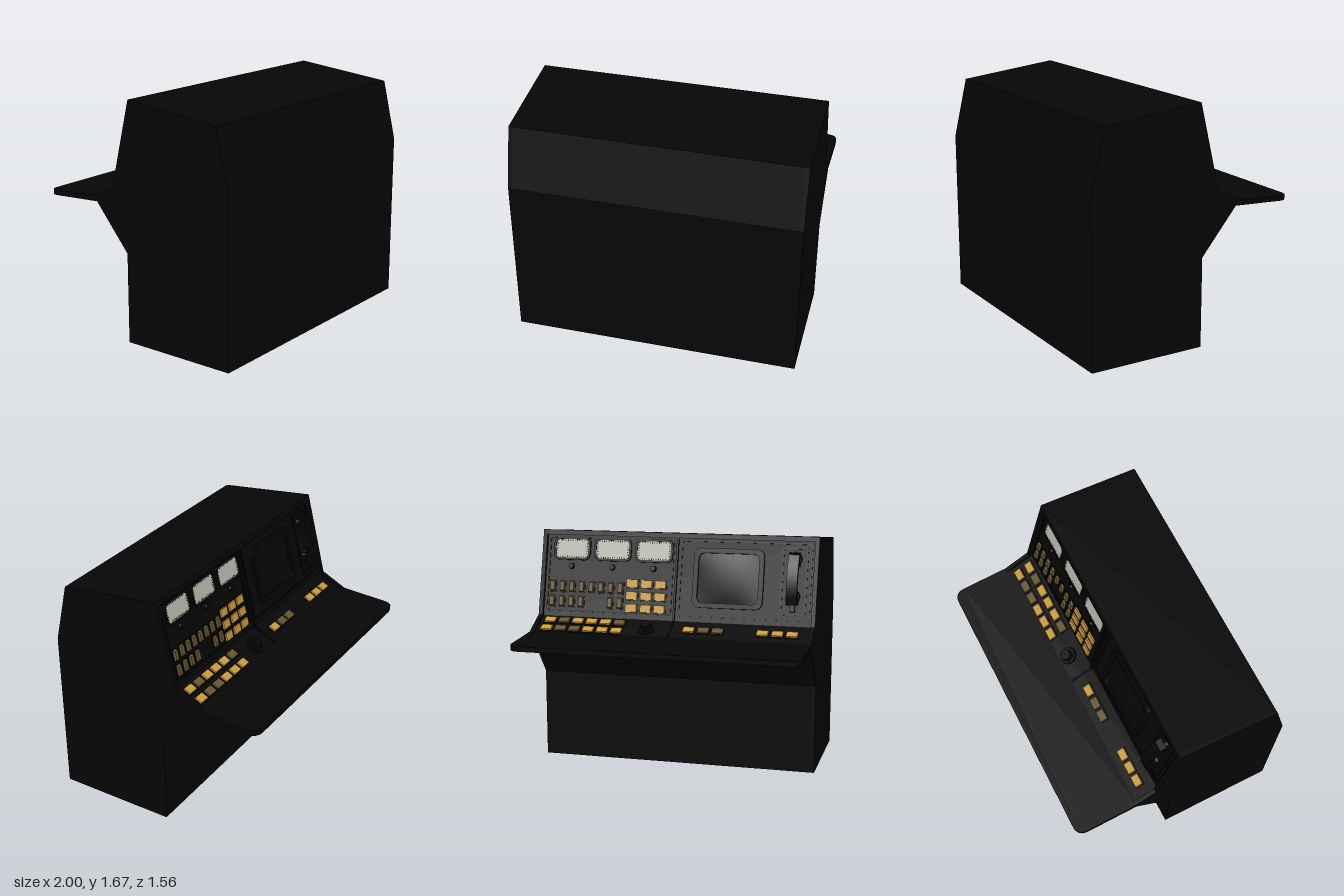
import * as THREE from 'three';

const mat = (name, color) => {
  const m = new THREE.MeshStandardMaterial({ color });
  m.name = name;
  return m;
};

export function createModel() {
  const body = mat('cabinetBlack', 0x060606);
  const trim = mat('trimBlack', 0x040404);
  const gold = mat('litAmber', 0xc99a3a);
  const dim = mat('unlitAmber', 0x665630);
  const pale = mat('meterFace', 0xbcbbb0);

  const root = new THREE.Group();
  root.name = 'controlConsole';

  const add = (parent, name, geo, material, x = 0, y = 0, z = 0) => {
    const m = new THREE.Mesh(geo, material);
    m.name = name;
    m.position.set(x, y, z);
    parent.add(m);
    return m;
  };

  // Rounded rectangle, centred, optionally drawn as a hole
  const roundRect = (w, h, r, target = new THREE.Shape()) => {
    const a = w / 2, b = h / 2;
    target.moveTo(-a + r, -b).lineTo(a - r, -b).quadraticCurveTo(a, -b, a, -b + r)
      .lineTo(a, b - r).quadraticCurveTo(a, b, a - r, b)
      .lineTo(-a + r, b).quadraticCurveTo(-a, b, -a, b - r)
      .lineTo(-a, -b + r).quadraticCurveTo(-a, -b, -a + r, -b);
    return target;
  };
  const plate = (w, h, d, r, rim = 0) => {
    const s = roundRect(w, h, r);
    if (rim) s.holes.push(roundRect(w - 2 * rim, h - 2 * rim, r * 0.8, new THREE.Path()));
    return new THREE.ExtrudeGeometry(s, { depth: d, bevelEnabled: false, curveSegments: 6 });
  };
  // Tapered key cap: the outer face is smaller than the base
  const cap = (w, h, d, taper) => {
    const g = new THREE.BoxGeometry(w, h, d).translate(0, 0, d / 2);
    const p = g.attributes.position;
    for (let i = 0; i < p.count; i++) {
      if (p.getZ(i) > d / 2) p.setXY(i, p.getX(i) * taper, p.getY(i) * taper);
    }
    g.computeVertexNormals();
    return g;
  };

  // Cabinet: side profiles (z, y) swept across the width, ending at x
  const sweep = (name, profile, width, x) => {
    const shape = new THREE.Shape(profile.map(([z, y]) => new THREE.Vector2(z, y)));
    const geo = new THREE.ExtrudeGeometry(shape, { depth: width, bevelEnabled: false });
    add(root, name, geo, body, x).rotation.y = -Math.PI / 2;
  };
  const back = [[0.78, 0], [0.78, 1.17], [0.68, 1.59], [-0.035, 1.67]];
  const knee = [[-0.33, 0.945], [-0.065, 0.63], [-0.065, 0]];
  // Core with the recessed panel and desk, between two full side walls
  sweep('cabinetCore', [...back, [-0.044, 1.635], [-0.019, 1.635], [-0.1625, 1.061],
    [-0.33, 0.979], ...knee], 1.94, 0.97);
  for (const x of [1, -0.97]) {
    sweep('sideWall', [...back, [-0.185, 1.07], [-0.37, 0.978], [-0.37, 0.943], ...knee], 0.03, x);
  }

  // Writing shelf with two rounded outer corners
  const s = new THREE.Shape();
  s.moveTo(-1, 0.045).lineTo(-1, -0.33).quadraticCurveTo(-1, -0.41, -0.92, -0.41)
    .lineTo(0.92, -0.41).quadraticCurveTo(1, -0.41, 1, -0.33).lineTo(1, 0.045);
  const shelf = add(root, 'writingShelf',
    new THREE.ExtrudeGeometry(s, { depth: 0.035, bevelEnabled: false }), body, 0, 0.978, -0.37);
  shelf.rotation.x = Math.PI / 2 - 0.055;

  // Groups lying on the sloped faces: local y runs up the slope, local z points outward
  const slope = (name, uy, uz) => {
    const up = new THREE.Vector3(0, uy, uz).normalize();
    const out = new THREE.Vector3(0, up.z, -up.y);
    const g = new THREE.Group();
    g.name = name;
    g.quaternion.setFromRotationMatrix(
      new THREE.Matrix4().makeBasis(new THREE.Vector3(-1, 0, 0), up, out));
    g.position.set(0, 1.061, -0.1625);
    root.add(g);
    return g;
  };
  const panel = slope('instrumentPanel', 0.6, 0.15);
  const desk = slope('keyDesk', 0.09, 0.185);
  const onPanel = (name, geo, m, x, y, d = 0) => add(panel, name, geo, m, -x, (y - 1.061) * 1.031, d);
  const onDesk = (name, geo, m, x, z, d = 0) => add(desk, name, geo, m, -x, (z + 0.1625) / 0.899, d);

  // Borders around the two halves of the panel, and the central dividing rib
  onPanel('leftPanelBorder', plate(0.93, 0.54, 0.006, 0.02, 0.01), trim, 0.49, 1.36);
  onPanel('rightPanelBorder', plate(0.93, 0.54, 0.006, 0.02, 0.01), trim, -0.49, 1.36);
  onPanel('panelRib', new THREE.BoxGeometry(0.014, 0.59, 0.016), trim, 0, 1.348, 0.008);
  onDesk('deskRib', new THREE.BoxGeometry(0.014, 0.18, 0.012), trim, 0, -0.245, 0.006);

  // Meters: pale face, dark frame, graduations around the rim and adjusting knob
  const frameGeo = plate(0.275, 0.165, 0.016, 0.05, 0.016);
  const faceGeo = plate(0.246, 0.136, 0.006, 0.045);
  const tickGeo = new THREE.BoxGeometry(0.006, 0.01, 0.002);
  const sideTickGeo = new THREE.BoxGeometry(0.01, 0.006, 0.002);
  const disc = (r1, r2, h) => new THREE.CylinderGeometry(r1, r2, h, 28).rotateX(Math.PI / 2);
  const knobGeo = disc(0.018, 0.022, 0.02);
  for (const x of [0.78, 0.475, 0.17]) {
    const y = 1.537;
    onPanel('meterFrame', frameGeo, trim, x, y);
    onPanel('meterFace', faceGeo, pale, x, y, 0.004);
    for (const e of [-1, 1]) {
      for (let i = -5; i <= 5; i++) onPanel('meterTick', tickGeo, trim, x + i * 0.017, y + e * 0.057, 0.01);
      for (let i = -2; i <= 2; i++) onPanel('meterTick', sideTickGeo, trim, x + e * 0.112, y + i * 0.017, 0.01);
    }
    onPanel('meterKnob', knobGeo, trim, x, 1.415, 0.01);
  }

  // Two rows of rocker switches
  const rockerBase = plate(0.05, 0.09, 0.006, 0.006);
  const rockerGeo = cap(0.037, 0.078, 0.018, 0.8);
  const rocker = (x, y) => {
    onPanel('switchBase', rockerBase, trim, x, y);
    onPanel('rockerSwitch', rockerGeo, dim, x, y, 0.004);
  };
  for (let i = 0; i < 8; i++) rocker(0.91 - i * 0.0725, 1.272);
  for (const i of [0, 1, 2, 3, 6, 7]) rocker(0.91 - i * 0.0725, 1.168);

  // Push buttons: dark surround with a coloured cap
  const keyBase = plate(0.092, 0.068, 0.006, 0.006);
  const keyCap = cap(0.082, 0.057, 0.012, 0.94);
  const key = (put, m, x, p) => {
    put('buttonSurround', keyBase, trim, x, p);
    put('pushButton', keyCap, m, x, p, 0.004);
  };
  for (const x of [0.11, 0.21, 0.315]) {
    for (const y of [1.137, 1.222, 1.307]) key(onPanel, gold, x, y);
  }
  const deskKeys = [[-0.298, [1, 1, 1, 0, 0, 1]], [-0.213, [0, 1, 1, 1, 0, 1]]];
  for (const [z, lit] of deskKeys) {
    lit.forEach((on, i) => key(onDesk, on ? gold : dim, 0.382 + i * 0.103, z));
  }
  for (const x of [-0.855, -0.753, -0.65]) key(onDesk, gold, x, -0.253);
  [[-0.335, dim], [-0.235, dim], [-0.13, gold]].forEach(([x, m]) => key(onDesk, m, x, -0.253));

  // Rotary control on the desk
  onDesk('rotaryBase', disc(0.056, 0.06, 0.014), trim, 0.17, -0.265, 0.007);
  onDesk('rotaryKnob', disc(0.036, 0.04, 0.052), trim, 0.17, -0.265, 0.034);

  // Monitor: raised rounded bezel with a slightly domed screen
  onPanel('monitorBezel', plate(0.5, 0.42, 0.022, 0.06, 0.035), trim, -0.375, 1.365);
  const dome = new THREE.PlaneGeometry(0.44, 0.36, 12, 12);
  const dp = dome.attributes.position;
  for (let i = 0; i < dp.count; i++) {
    const u = dp.getX(i) / 0.22, v = dp.getY(i) / 0.18;
    dp.setZ(i, 0.004 + 0.018 * (1 - u * u) * (1 - v * v));
  }
  dome.computeVertexNormals();
  onPanel('monitorScreen', dome, body, -0.375, 1.365);

  // Handset: curved grip with two blocky ends, resting on its cradle
  onPanel('handsetCradle', plate(0.18, 0.47, 0.006, 0.02, 0.012), trim, -0.835, 1.365);
  onPanel('cordSocket', new THREE.BoxGeometry(0.035, 0.05, 0.028), trim, -0.835, 1.183, 0.014);
  const h = new THREE.Shape();
  h.moveTo(-0.022, 0.505).lineTo(0, 0.505).lineTo(0.039, 0.487)
    .quadraticCurveTo(0.1, 0.33, 0.065, 0.2).lineTo(0.045, 0.14).lineTo(-0.022, 0.145)
    .lineTo(-0.022, 0.236).lineTo(0.044, 0.238)
    .quadraticCurveTo(0.056, 0.33, 0.034, 0.405).lineTo(-0.022, 0.41);
  const handle = add(panel, 'handset', new THREE.ExtrudeGeometry(h,
    { depth: 0.075, bevelEnabled: false, curveSegments: 14 }), trim, 0.8725, 0.003, 0.024);
  handle.rotation.y = -Math.PI / 2;
  for (const y of [1.515, 1.262]) onPanel('handsetCup', disc(0.044, 0.048, 0.026), trim, -0.835, y, 0.013);

  return root;
}
